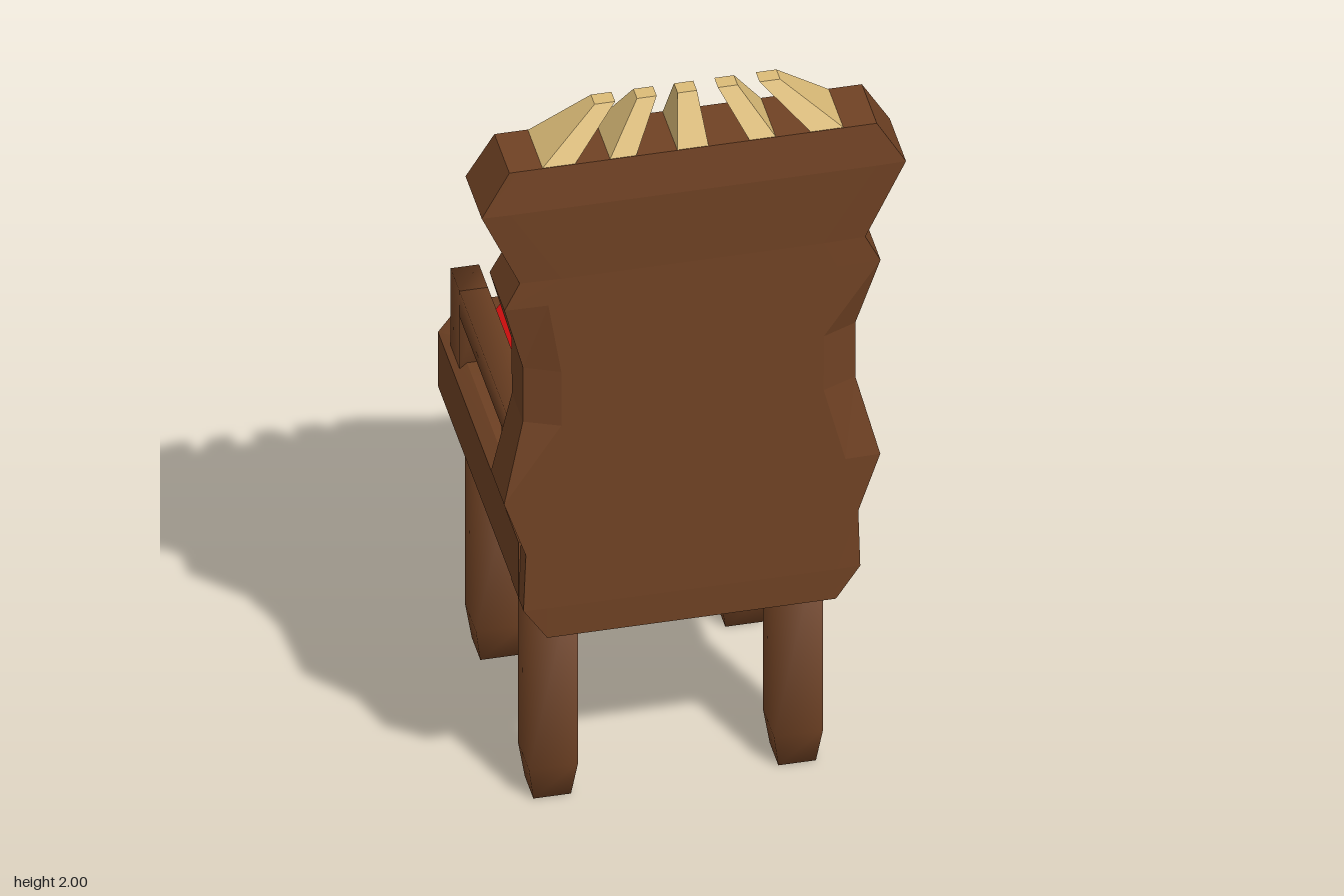
import * as THREE from 'three';
import { mergeVertices, toCreasedNormals } from 'three/addons/utils/BufferGeometryUtils.js';

// Skin a stack of closed rings (counter-clockwise from above, bottom to top) and cap both ends.
function loft(rings, crease = 0) {
  const n = rings[0].length, index = [], top = (rings.length - 1) * n;
  for (let i = 0; i < rings.length - 1; i++) {
    for (let j = 0; j < n; j++) {
      const a = i * n + j, b = i * n + (j + 1) % n;
      index.push(a, b, b + n, a, b + n, a + n);
    }
  }
  for (let j = 1; j < n - 1; j++) {
    index.push(0, j + 1, j, top, top + j, top + j + 1);
  }
  const g = new THREE.BufferGeometry();
  g.setAttribute('position', new THREE.Float32BufferAttribute(rings.flat(2), 3));
  g.setIndex(index);
  return toCreasedNormals(g, crease);
}

// Rectangle whose two corners towards -z are cut off.
function cutRing(y, w, z0, z1, cx, cz) {
  return [
    [w, y, z1], [w, y, z0 + cz], [w - cx, y, z0],
    [cx - w, y, z0], [-w, y, z0 + cz], [-w, y, z1],
  ];
}

// Plain rectangle ring.
function boxRing(y, x0, x1, z0, z1) {
  return [[x1, y, z1], [x1, y, z0], [x0, y, z0], [x0, y, z1]];
}

// Box with soft shading across its edges.
function softBox(x0, x1, y0, y1, z0, z1) {
  const g = new THREE.BoxGeometry(x1 - x0, y1 - y0, z1 - z0);
  g.translate((x0 + x1) / 2, (y0 + y1) / 2, (z0 + z1) / 2);
  g.deleteAttribute('normal');
  g.deleteAttribute('uv');
  const m = mergeVertices(g);
  m.computeVertexNormals();
  return m;
}

export function createModel() {
  const model = new THREE.Group();
  model.name = 'throne';
  const material = (name, color) => {
    const m = new THREE.MeshStandardMaterial({ color });
    m.name = name;
    return m;
  };
  const wood = material('brown wood', 0x704224);
  const red = material('red fabric', 0xe01010);
  const straw = material('pale straw', 0xdcbc78);

  const add = (name, geometry, mat, parent = model) => {
    const mesh = new THREE.Mesh(geometry, mat);
    mesh.name = name;
    parent.add(mesh);
    return mesh;
  };

  // Carved backrest: y, half width, half width of rear face, front z, side rear z, rear z
  const rows = [
    [0.57, 0.33, 0.30, 0.35, 0.465, 0.465],
    [0.655, 0.385, 0.33, 0.345, 0.468, 0.47],
    [0.81, 0.38, 0.33, 0.345, 0.47, 0.472],
    [0.96, 0.43, 0.35, 0.34, 0.471, 0.473],
    [1.16, 0.38, 0.30, 0.33, 0.44, 0.474],
    [1.31, 0.38, 0.30, 0.325, 0.44, 0.475],
    [1.50, 0.43, 0.33, 0.325, 0.474, 0.476],
    [1.57, 0.395, 0.30, 0.33, 0.474, 0.477],
    [1.775, 0.485, 0.42, 0.325, 0.488, 0.49],
    [1.885, 0.42, 0.40, 0.33, 0.48, 0.48],
  ];
  add('backrest', loft(rows.map(([y, w, wi, zf, zs, zb]) => [
    [wi, y, zb], [w, y, zs], [w, y, zf], [-w, y, zf], [-w, y, zs], [-wi, y, zb],
  ])), wood);

  // Seat slab with bevelled rim
  add('seat', loft([
    cutRing(0.635, 0.355, -0.41, 0.42, 0.07, 0.08),
    cutRing(0.66, 0.385, -0.49, 0.42, 0.08, 0.10),
    cutRing(0.81, 0.385, -0.49, 0.42, 0.08, 0.10),
    cutRing(0.835, 0.355, -0.41, 0.42, 0.07, 0.08),
  ], 0.6), wood);

  // Padded seat and back cushions
  add('seatCushion', loft([
    cutRing(0.82, 0.29, -0.41, 0.34, 0.07, 0.09),
    cutRing(0.875, 0.29, -0.41, 0.34, 0.07, 0.09),
    cutRing(0.92, 0.23, -0.32, 0.34, 0.01, 0.01),
  ], 0.8), red);
  const backPad = loft([
    cutRing(-0.345, 0.29, -1.78, -0.84, 0.07, 0.15),
    cutRing(-0.315, 0.29, -1.78, -0.84, 0.07, 0.15),
    cutRing(-0.265, 0.23, -1.63, -0.84, 0.01, 0.01),
  ], 0.8);
  backPad.rotateX(Math.PI / 2).rotateY(Math.PI);
  add('backCushion', backPad, red);

  // Armrests and legs, mirrored
  for (const side of [-1, 1]) {
    const label = side > 0 ? 'left' : 'right';
    const arm = new THREE.Group();
    arm.name = label + 'Armrest';
    model.add(arm);
    const x0 = Math.min(side * 0.307, side * 0.372);
    const x1 = x0 + 0.065;
    add('frontPost', softBox(x0, x1, 0.82, 1.035, -0.32, -0.23), wood, arm);
    add('rearPost', softBox(x0, x1, 0.82, 0.97, 0.192, 0.285), wood, arm);
    add('rail', softBox(x0, x1, 0.965, 1.035, -0.232, 0.285), wood, arm);

    for (const z of [-0.28, 0.252]) {
      const x = side * 0.28;
      const ring = (y, h) => boxRing(y, x - h, x + h, z - h, z + h);
      add(label + (z < 0 ? 'FrontLeg' : 'RearLeg'), loft([
        ring(0, 0.043), ring(0.09, 0.056), ring(0.65, 0.056),
      ], 1.58), wood);
    }
  }

  // Crown of leaning spikes: base x range, tip x range
  const crown = new THREE.Group();
  crown.name = 'crown';
  model.add(crown);
  const spike = (b0, b1, t0, t1) => add('spike', loft([
    boxRing(1.884, b0, b1, 0.331, 0.479),
    boxRing(2.0, t0, t1, 0.385, 0.422),
  ]), straw, crown);
  spike(-0.036, 0.036, -0.022, 0.022);
  for (const [b0, b1, t0, t1] of [[0.13, 0.19, 0.07, 0.115], [0.27, 0.345, 0.165, 0.212]]) {
    spike(b0, b1, t0, t1);
    spike(-b1, -b0, -t1, -t0);
  }
  return model;
}
